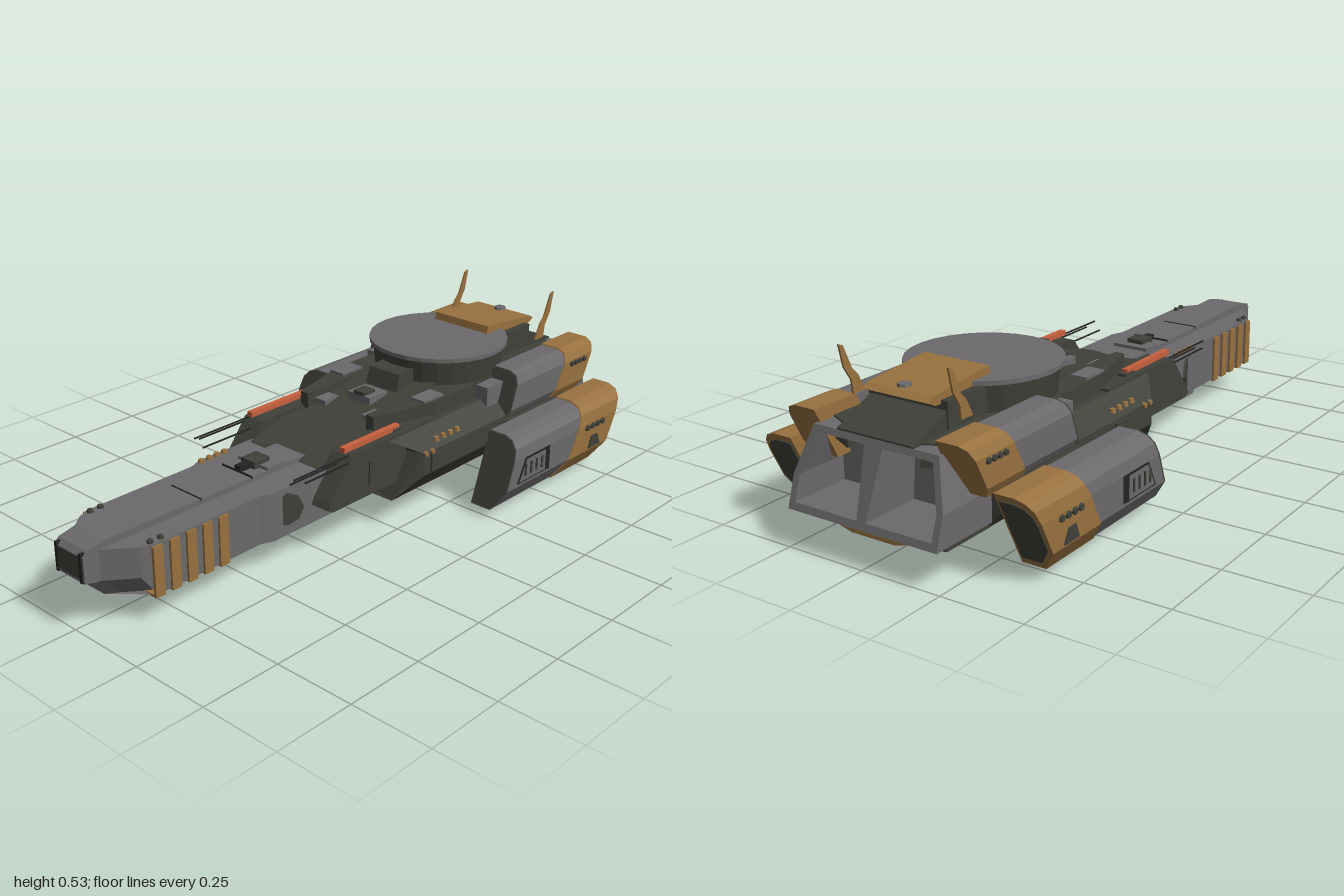
import * as THREE from 'three';

const mat = (name, color) => {
  const m = new THREE.MeshStandardMaterial({ color });
  m.name = name;
  return m;
};

export function createModel() {
  const ship = new THREE.Group();
  ship.name = 'ship';
  const gray = mat('hull gray', 0x6b696b), dark = mat('dark armour', 0x3f4139),
    amber = mat('amber', 0x98713f), orange = mat('orange', 0xc8603e), black = mat('black', 0x242424);

  const flat = (g) => {
    const f = g.index ? g.toNonIndexed() : g;
    f.computeVertexNormals();
    return f;
  };
  const add = (name, geo, material) => {
    const mesh = new THREE.Mesh(flat(geo), material);
    mesh.name = name;
    ship.add(mesh);
    return mesh;
  };
  // Adds a part and its mirror image, keeping the faces outward
  const pair = (name, geo, material) => {
    const left = flat(geo), right = left.clone(), p = right.attributes.position;
    right.scale(-1, 1, 1);
    const a = new THREE.Vector3(), b = new THREE.Vector3();
    for (let i = 0; i < p.count; i += 3) {
      a.fromBufferAttribute(p, i + 1);
      b.fromBufferAttribute(p, i + 2);
      p.setXYZ(i + 1, b.x, b.y, b.z);
      p.setXYZ(i + 2, a.x, a.y, a.z);
    }
    add(name + 'Left', left, material);
    add(name + 'Right', right, material);
  };

  const shape = (pts) => new THREE.Shape(pts.map(([x, y]) => new THREE.Vector2(x, y)));
  const extrude = (s, depth) => new THREE.ExtrudeGeometry(s, { depth, bevelEnabled: false });
  const box = (x0, x1, y0, y1, z0, z1) => new THREE.BoxGeometry(x1 - x0, y1 - y0, z1 - z0)
    .translate((x0 + x1) / 2, (y0 + y1) / 2, (z0 + z1) / 2);
  // Side profile of [z, y] points, from x0 to x1
  const slab = (pts, x0, x1) => extrude(shape(pts.map(([z, y]) => [-z, y])), x1 - x0)
    .rotateY(Math.PI / 2).translate(x0, 0, 0);
  // Plan of [x, z] points, from y0 to y1
  const plan = (pts, y0, y1) => extrude(shape(pts.map(([x, z]) => [x, -z])), y1 - y0)
    .rotateX(-Math.PI / 2).translate(0, y0, 0);
  // Cross-section in x, y whose ends follow front(x, y) and back(x, y)
  const loft = (section, front, back) => {
    const g = extrude(Array.isArray(section) ? shape(section) : section, 1), p = g.attributes.position;
    for (let i = 0; i < p.count; i++) {
      const x = p.getX(i), y = p.getY(i), f = front(x, y), b = back(x, y);
      p.setZ(i, b + p.getZ(i) * (f - b));
    }
    return g;
  };
  const both = (pts) => [...pts, ...pts.map(([x, y]) => [-x, y]).reverse()];
  const grow = (pts, cx, cy, k) => pts.map(([x, y]) => [cx + (x - cx) * k, cy + (y - cy) * k]);
  // Round stud facing +x or up
  const stud = (x, y, z, r, up) => {
    const g = new THREE.CylinderGeometry(r * 0.8, r, 0.012, 10);
    if (!up) g.rotateZ(-Math.PI / 2);
    return g.translate(x, y, z);
  };

  // Forward boom, with the chin cut back below the nose
  const boom = both([[0.155, -0.1], [0.155, 0.42], [0.14, 0.46], [0.14, 0.83], [0.125, 0.87], [0.06, 0.95], [0.035, 0.985]]);
  add('boomUpper', plan(boom, 0.15, 0.24), gray);
  const chin = plan(boom, 0.09, 0.15), cp = chin.attributes.position;
  for (let i = 0; i < cp.count; i++) if (cp.getY(i) < 0.1 && cp.getZ(i) > 0.85) cp.setZ(i, cp.getZ(i) - 0.06);
  add('boomLower', chin, gray);
  add('boomRidge', slab([[0.06, 0.23], [0.07, 0.265], [0.14, 0.25], [0.5, 0.255], [0.93, 0.262], [0.985, 0.25], [1, 0.235], [1, 0.16], [0.96, 0.15]], -0.06, 0.06), gray);
  add('noseWindow', box(-0.045, 0.045, 0.17, 0.235, 0.995, 1.002), dark);
  pair('noseFrame', box(0.045, 0.055, 0.16, 0.245, 0.99, 1.004), black);
  add('boomSensor', box(-0.028, 0.028, 0.25, 0.275, 0.31, 0.37), dark);
  add('boomSensorBarrel', box(-0.012, 0.012, 0.25, 0.27, 0.37, 0.41), black);
  add('sensorBase', box(-0.06, 0.06, 0.25, 0.262, 0.28, 0.35), gray);
  for (const z of [0.41, 0.6]) add('boomSeam', box(-0.061, 0.061, 0.25, 0.2585, z, z + 0.004), black);
  add('bellyHatch', box(-0.04, 0.04, 0.083, 0.09, 0.3, 0.42), black);
  pair('boomPort', new THREE.CylinderGeometry(0.05, 0.05, 0.008, 8).rotateX(Math.PI / 8).rotateZ(-Math.PI / 2).translate(0.157, 0.173, 0.37), dark);
  for (let i = 0; i < 5; i++) {
    const z = 0.582 + i * 0.057;
    pair('boomStripe', box(0.138, 0.147, 0.087, 0.235, z, z + 0.032), amber);
    pair('boomBellyStripe', box(0.06, 0.147, 0.085, 0.092, z, z + 0.032), amber);
  }
  for (const z of [0.33, 0.36, 0.39, 0.42]) add('boomStud', stud(-0.143, 0.243, z, 0.011, true), amber);
  for (const z of [0.8, 0.835]) pair('noseStud', stud(0.125, 0.243, z, 0.01, true), dark);

  // Sloped shoulders, rods and whiskers beside the boom
  pair('shoulder', slab([[0.27, 0.15], [0.26, 0.17], [0.17, 0.285], [0.15, 0.293], [-0.2, 0.293], [-0.2, 0.14], [0.25, 0.14]], 0.14, 0.222), dark);
  add('foreDeck', slab([[0.24, 0.23], [0.22, 0.245], [0.08, 0.28], [-0.15, 0.285], [-0.15, 0.23]], -0.14, 0.14), dark);
  pair('orangeRod', box(0.181, 0.2, 0.293, 0.309, -0.06, 0.18), orange);
  pair('rodMount', box(0.176, 0.205, 0.285, 0.3, -0.08, -0.03), dark);
  for (const [x, y, z] of [[0.205, 0.285, 0.39], [0.218, 0.27, 0.36], [0.18, 0.26, 0.38]])
    pair('whisker', box(x - 0.002, x + 0.002, y - 0.002, y + 0.002, 0.1, z), black);
  pair('shoulderPanel', box(0.215, 0.226, 0.17, 0.25, -0.02, 0.1), dark);

  // Main hull
  add('mainHull', loft(both([[0.23, 0.09], [0.29, 0.165], [0.29, 0.235], [0.225, 0.285]]),
    (x) => 0.02 - 1.3 * Math.max(0, Math.abs(x) - 0.22), () => -0.78), dark);
  pair('hullSidePanel', box(0.286, 0.296, 0.17, 0.225, -0.27, -0.1), dark);
  for (let i = 0; i < 4; i++) pair('hullStud', stud(0.268, 0.254, -0.15 - i * 0.033, 0.01, true), amber);
  for (const z of [-0.08, -0.11]) pair('hullSideStud', stud(0.288, 0.232, z, 0.009), amber);
  add('keel', slab([[-0.06, 0.095], [-0.28, 0.005], [-0.3, 0], [-0.33, 0.095]], -0.062, 0.062), gray);
  add('keelFace', slab([[-0.06, 0.09], [-0.28, 0], [-0.3, 0], [-0.08, 0.09]], -0.063, 0.063), black);

  // Upper deck and its equipment
  add('upperDeck', slab([[0.02, 0.28], [-0.06, 0.305], [-0.25, 0.335], [-0.6, 0.385], [-0.8, 0.39], [-0.93, 0.335], [-0.93, 0.32], [-0.77, 0.32], [-0.77, 0.25], [0.02, 0.25]], -0.125, 0.125), dark);
  pair('deckFlank', plan([[0.12, 0], [0.15, 0], [0.205, -0.22], [0.205, -0.86], [0.12, -0.9]], 0.27, 0.335), dark);
  pair('deckBlock', box(0.14, 0.195, 0.29, 0.342, -0.27, -0.18), gray);
  pair('deckBlockSmall', box(0.075, 0.125, 0.28, 0.313, -0.09, -0.03), gray);
  pair('deckStep', box(0.2, 0.25, 0.26, 0.33, -0.6, -0.42), gray);
  add('deckTurret', box(-0.045, 0.045, 0.3, 0.335, -0.18, -0.1), gray);
  add('deckTurretTop', box(-0.022, 0.022, 0.33, 0.345, -0.15, -0.1), dark);
  add('bridgeHood', slab([[-0.2, 0.32], [-0.22, 0.38], [-0.3, 0.385], [-0.3, 0.32]], -0.062, 0.062), dark);

  // Round platform with hatch
  add('drum', new THREE.CylinderGeometry(0.212, 0.2, 0.1, 28).translate(0, 0.367, -0.48), dark);
  add('platform', new THREE.CylinderGeometry(0.222, 0.222, 0.013, 28).translate(0, 0.422, -0.48), gray);
  add('platformNeck', box(-0.13, 0.13, 0.34, 0.415, -0.8, -0.6), dark);
  add('topHatch', slab([[-0.595, 0.425], [-0.6, 0.452], [-0.83, 0.432], [-0.85, 0.42], [-0.82, 0.405], [-0.62, 0.405]], -0.108, 0.108), amber);
  add('hatchBolt', new THREE.CylinderGeometry(0.018, 0.02, 0.008, 8).translate(0, 0.44, -0.81), gray);
  pair('antennaFin', slab([[-0.765, 0.38], [-0.79, 0.43], [-0.81, 0.45], [-0.84, 0.52], [-0.855, 0.526], [-0.84, 0.46], [-0.815, 0.42], [-0.81, 0.38]], 0.175, 0.181), amber);

  // Upper side pods
  const pod = [[0.2, 0.22], [0.2, 0.365], [0.265, 0.365], [0.29, 0.355], [0.302, 0.33], [0.302, 0.25], [0.285, 0.22]];
  const podFront = (x, y) => -0.52 + 0.36 * (0.365 - y);
  const podJoin = (x, y) => -0.78 + 0.5 * (0.37 - y);
  pair('pod', loft(pod, podFront, podJoin), gray);
  pair('podFace', loft(pod, (x, y) => podFront(x, y) + 0.006, podFront), dark);
  pair('podTail', loft(grow(pod, 0.25, 0.3, 1.06), podJoin, (x, y) => podJoin(x, y) - 0.155), amber);
  for (let i = 0; i < 4; i++) pair('podStud', stud(0.306, 0.32, -0.8 - i * 0.023, 0.01), dark);

  // Outer nacelles on pylons
  const nac = [[0.337, 0.028], [0.337, 0.246], [0.395, 0.246], [0.425, 0.236], [0.443, 0.215], [0.45, 0.18], [0.45, 0.09], [0.408, 0.028]];
  const nacFront = (x, y) => -0.25 - 0.36 * (y - 0.028);
  const nacJoin = (x, y) => -0.565 - 0.5 * (y - 0.028);
  pair('nacelle', loft(nac, nacFront, nacJoin), gray);
  pair('nacelleFace', loft(nac, (x, y) => nacFront(x, y) + 0.006, nacFront), dark);
  pair('nacelleTail', loft(grow(nac, 0.39, 0.137, 1.04), nacJoin, (x, y) => nacJoin(x, y) - 0.215), amber);
  pair('nacelleTailEnd', loft(grow(nac, 0.39, 0.137, 0.85), (x, y) => nacJoin(x, y) - 0.21, (x, y) => nacJoin(x, y) - 0.219), dark);
  pair('pylon', plan([[0.26, -0.42], [0.34, -0.5], [0.34, -0.72], [0.26, -0.75]], 0.185, 0.222), dark);
  for (let i = 0; i < 4; i++) pair('nacelleStud', stud(0.452, 0.17, -0.69 - i * 0.028, 0.012), dark);
  pair('nacelleHatch', slab([[-0.7, 0.095], [-0.715, 0.135], [-0.745, 0.135], [-0.765, 0.095]], 0.445, 0.457), dark);
  // Outlined panel on the nacelle flank
  pair('nacellePanelRim', slab([[-0.32, 0.1], [-0.36, 0.178], [-0.485, 0.178], [-0.485, 0.1]], 0.445, 0.452), black);
  pair('nacellePanel', slab([[-0.33, 0.105], [-0.365, 0.172], [-0.46, 0.172], [-0.46, 0.105]], 0.445, 0.454), gray);
  for (let i = 0; i < 4; i++) pair('nacelleRib', box(0.445, 0.457, 0.12, 0.16, -0.36 - i * 0.028, -0.352 - i * 0.028), dark);

  // Engine housing with two open bays
  const rear = (x, y) => -0.93 - 0.32 * (0.33 - y);
  const housing = shape(both([[0.245, 0.11], [0.245, 0.2], [0.205, 0.33]]));
  const bay = [[0.015, 0.13], [0.225, 0.13], [0.225, 0.2], [0.19, 0.312], [0.03, 0.312]];
  for (const s of [1, -1]) housing.holes.push(new THREE.Path(bay.map(([x, y]) => new THREE.Vector2(s * x, y))));
  add('engineHousing', loft(housing, () => -0.775, rear), gray);
  pair('engineBack', box(0.01, 0.23, 0.12, 0.32, -0.81, -0.775), gray);
  pair('engineNozzle', box(0.07, 0.17, 0.17, 0.27, -0.83, -0.81), gray);
  add('bellyPlating', box(-0.235, 0.235, 0.092, 0.115, -0.95, -0.77), dark);
  add('bellyFin', loft(both([[0.07, 0.07], [0.11, 0.08], [0.11, 0.12]]),
    (x, y) => -0.8 + 0.5 * (y - 0.07) - 0.4 * Math.max(0, Math.abs(x) - 0.07), (x) => -0.955), amber);

  return ship;
}
